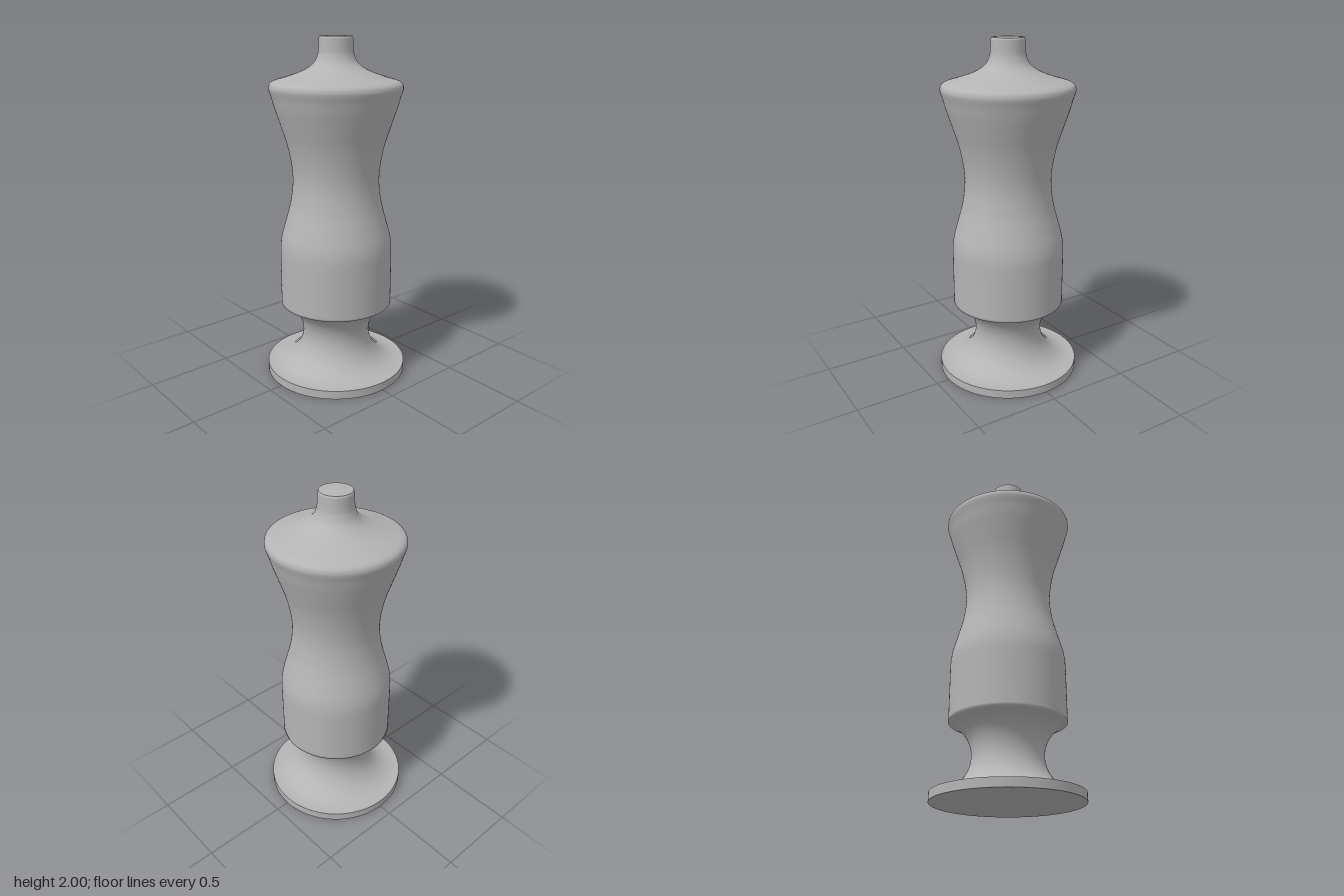
import * as THREE from 'three';

const SEGMENTS = 96;
const grey = new THREE.MeshStandardMaterial({ color: 0xb4b4b4 });
grey.name = 'grey';

const toPoints = (list) => list.map(([r, y]) => new THREE.Vector2(r, y));
const smooth = (list, n) => new THREE.SplineCurve(toPoints(list)).getPoints(n);

// Turns one stretch of the outline (bottom to top); separate stretches meet at sharp edges
function turn(name, points) {
  const mesh = new THREE.Mesh(new THREE.LatheGeometry(points, SEGMENTS), grey);
  mesh.name = name;
  return mesh;
}

export function createModel() {
  const group = new THREE.Group();
  group.name = 'turnedMill';

  // Flat base disc
  group.add(turn('baseUnderside', toPoints([[0, 0], [0.42, 0]])));
  group.add(turn('baseRim', toPoints([[0.42, 0], [0.42, 0.05]])));
  group.add(turn('baseLip', toPoints([[0.42, 0.05], [0.4, 0.05]])));

  // Concave foot: a circular cove cut between the base and the body
  const cove = [];
  for (let i = 0; i <= 32; i++) {
    const a = -Math.PI / 2 - (i / 32) * Math.PI * 0.888;
    cove.push(new THREE.Vector2(0.4 + 0.2 * Math.cos(a), 0.25 + 0.2 * Math.sin(a)));
  }
  cove.push(new THREE.Vector2(0.33, 0.452));
  group.add(turn('foot', cove));

  // Straight lower body, waist and flared head
  const body = [new THREE.Vector2(0.33, 0.452), ...smooth([
    [0.33, 0.74], [0.328, 0.8], [0.318, 0.86], [0.296, 0.94], [0.267, 1.05], [0.251, 1.17],
    [0.257, 1.28], [0.281, 1.4], [0.316, 1.51], [0.346, 1.6], [0.363, 1.66], [0.376, 1.7],
    [0.378, 1.72], [0.37, 1.74], [0.345, 1.755], [0.28, 1.774], [0.2, 1.802],
    [0.15, 1.828], [0.12, 1.856], [0.104, 1.89], [0.098, 1.92], [0.095, 1.985],
  ], 120)];
  group.add(turn('body', body));

  // Knob top with a tiny bevel
  group.add(turn('knobBevel', toPoints([[0.095, 1.985], [0.09, 1.995]])));
  group.add(turn('knobTop', toPoints([[0.09, 1.995], [0, 2]])));

  return group;
}
